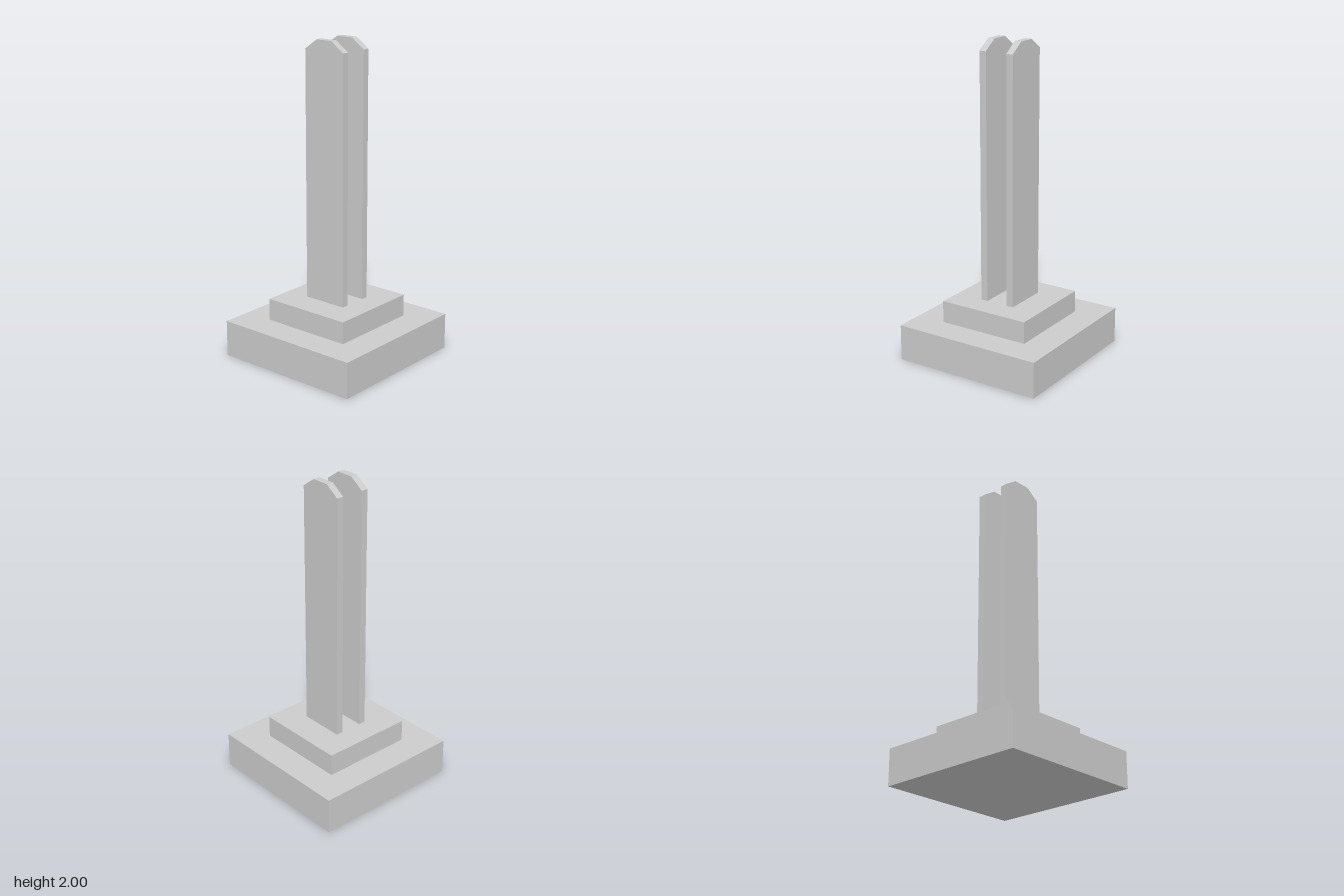
import * as THREE from 'three';

const material = new THREE.MeshStandardMaterial({ color: 0xcccccc, flatShading: true });

function addMesh(group, name, geometry, x, y) {
  const mesh = new THREE.Mesh(geometry, material);
  mesh.name = name;
  mesh.position.set(x, y, 0);
  group.add(mesh);
}

// Upright slab with chamfered top corners, standing on y = 0, thin along x
function slabGeometry(halfWidth, height, halfTop, chamfer, thickness) {
  const shape = new THREE.Shape([
    [-halfWidth, 0], [halfWidth, 0], [halfWidth, height - chamfer],
    [halfTop, height], [-halfTop, height], [-halfWidth, height - chamfer],
  ].map(([x, y]) => new THREE.Vector2(x, y)));
  return new THREE.ExtrudeGeometry(shape, { depth: thickness, bevelEnabled: false })
    .translate(0, 0, -thickness / 2)
    .rotateY(Math.PI / 2);
}

export function createModel() {
  const group = new THREE.Group();
  group.name = 'monument';
  const baseHeight = 0.23, stepHeight = 0.14, stepTop = baseHeight + stepHeight;

  // Square stepped plinth
  addMesh(group, 'base', new THREE.BoxGeometry(0.98, baseHeight, 0.98), 0, baseHeight / 2);
  addMesh(group, 'upperStep', new THREE.BoxGeometry(0.6, stepHeight, 0.6), 0, baseHeight + stepHeight / 2);

  // Pair of parallel slabs
  const slab = slabGeometry(0.146, 2 - stepTop, 0.057, 0.062, 0.045);
  for (const [name, side] of [['leftSlab', 1], ['rightSlab', -1]]) {
    addMesh(group, name, slab, side * 0.094, stepTop);
  }
  return group;
}
